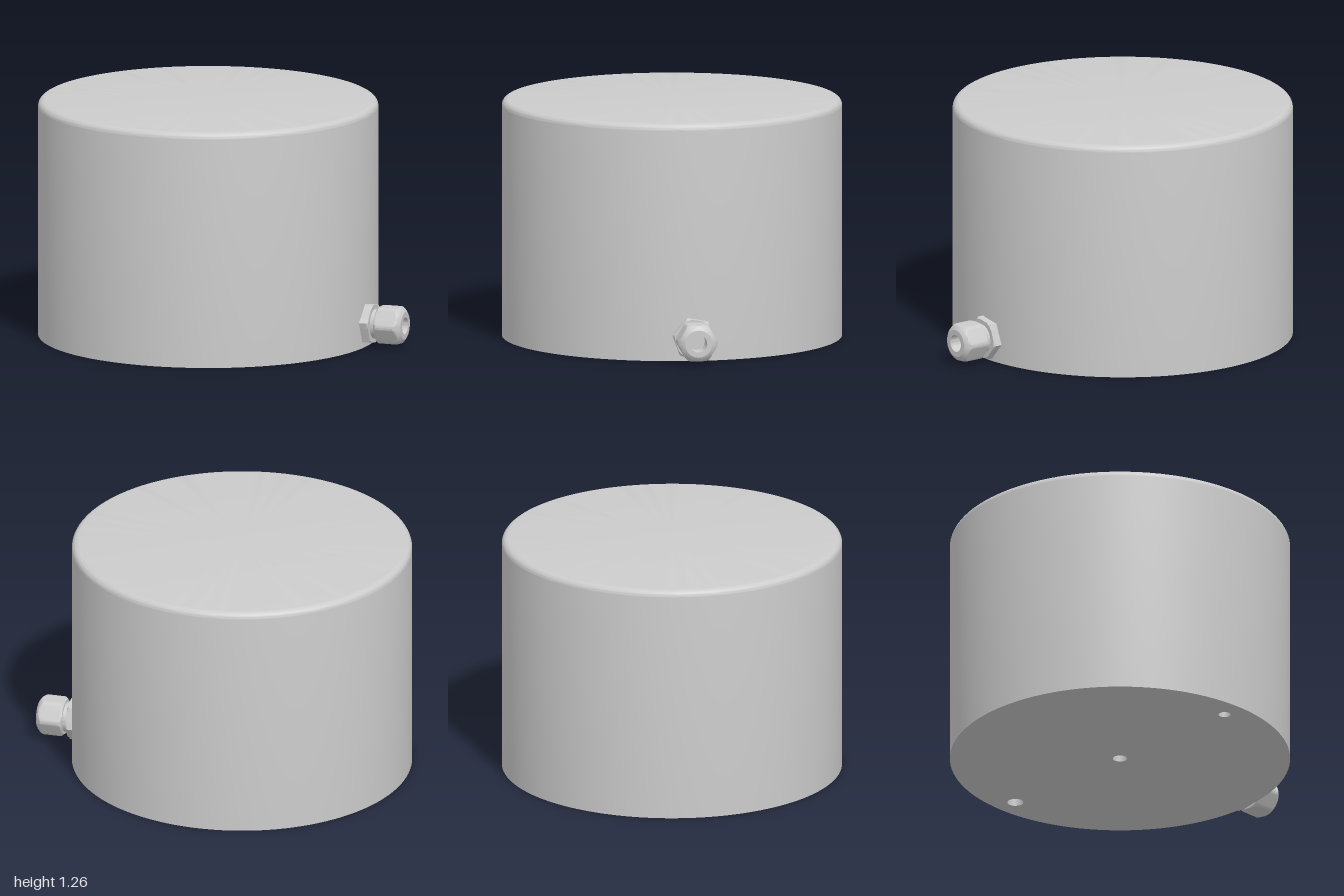
import * as THREE from 'three';
import { toCreasedNormals } from 'three/addons/utils/BufferGeometryUtils.js';

const R = 0.895, H = 1.26, FILLET = 0.035, CX = -0.105;
const GLAND_Y = 0.122;

const grey = new THREE.MeshStandardMaterial({ color: 0xcccccc });
const greyDouble = new THREE.MeshStandardMaterial({ color: 0xcccccc, side: THREE.DoubleSide });

function mesh(name, geometry, material = grey) {
  const m = new THREE.Mesh(geometry, material);
  m.name = name;
  return m;
}

// Turned part along +x from [x, radius] pairs; an apothem mills six flats into it.
function turned(profile, apothem = Infinity, twist = 0) {
  const g = new THREE.LatheGeometry(profile.map(([x, r]) => new THREE.Vector2(r, x)), 72);
  const p = g.attributes.position;
  for (let i = 0; i < p.count; i++) {
    const x = p.getX(i), z = p.getZ(i), r = Math.hypot(x, z);
    if (r < 1e-6) continue;
    const a = Math.atan2(x, z) + Math.PI * 2;
    const fromFlat = (a % (Math.PI / 3)) - Math.PI / 6;
    const k = Math.min(r, apothem / Math.cos(fromFlat)) / r;
    p.setX(i, x * k);
    p.setZ(i, z * k);
  }
  g.rotateY(twist);
  g.rotateZ(-Math.PI / 2);
  return toCreasedNormals(g, 0.4);
}

export function createModel() {
  const model = new THREE.Group();
  model.name = 'sensorHousing';

  // Drum with a rounded upper rim
  const body = new THREE.Group();
  body.name = 'body';
  body.position.x = CX;
  const profile = [new THREE.Vector2(R, 0)];
  for (let i = 0; i <= 8; i++) {
    const a = (i / 8) * Math.PI / 2;
    profile.push(new THREE.Vector2(R - FILLET + FILLET * Math.cos(a), H - FILLET + FILLET * Math.sin(a)));
  }
  profile.push(new THREE.Vector2(0, H));
  body.add(mesh('drum', toCreasedNormals(new THREE.LatheGeometry(profile, 128), 0.5)));

  // Underside with three blind holes: [z, radius]
  const holes = [[0, 0.038], [-0.775, 0.043], [0.775, 0.032]];
  const depth = 0.1;
  const disc = new THREE.Shape().absarc(0, 0, R, 0, Math.PI * 2);
  for (const [z, r] of holes) {
    disc.holes.push(new THREE.Path().absarc(0, z, r, 0, Math.PI * 2, true));
    const wall = mesh('holeWall', new THREE.CylinderGeometry(r, r, depth, 32, 1, true), greyDouble);
    wall.position.set(0, depth / 2, z);
    const end = mesh('holeEnd', new THREE.CircleGeometry(r, 32).rotateX(Math.PI / 2));
    end.position.set(0, depth, z);
    body.add(wall, end);
  }
  body.add(mesh('underside', new THREE.ShapeGeometry(disc, 64).rotateX(Math.PI / 2)));
  model.add(body);

  // Cable gland on the side: hex base nut, neck, hex cap with a cable bore
  const gland = new THREE.Group();
  gland.name = 'cableGland';
  gland.position.y = GLAND_Y;
  gland.add(mesh('baseNut', turned(
    [[0.77, 0], [0.77, 0.116], [0.822, 0.116], [0.83, 0.104], [0.83, 0]],
    0.1, -Math.PI / 18)));
  gland.add(mesh('neck', turned([[0.82, 0.078], [0.87, 0.078]])));
  gland.add(mesh('cap', turned([
    [0.855, 0], [0.855, 0.092], [0.862, 0.1], [0.868, 0.106], [0.968, 0.106], [0.976, 0.1],
    [0.984, 0.094], [0.993, 0.084], [1.0, 0.072], [1.0, 0.045], [0.9, 0.045], [0.9, 0],
  ], 0.095)));
  model.add(gland);

  return model;
}
